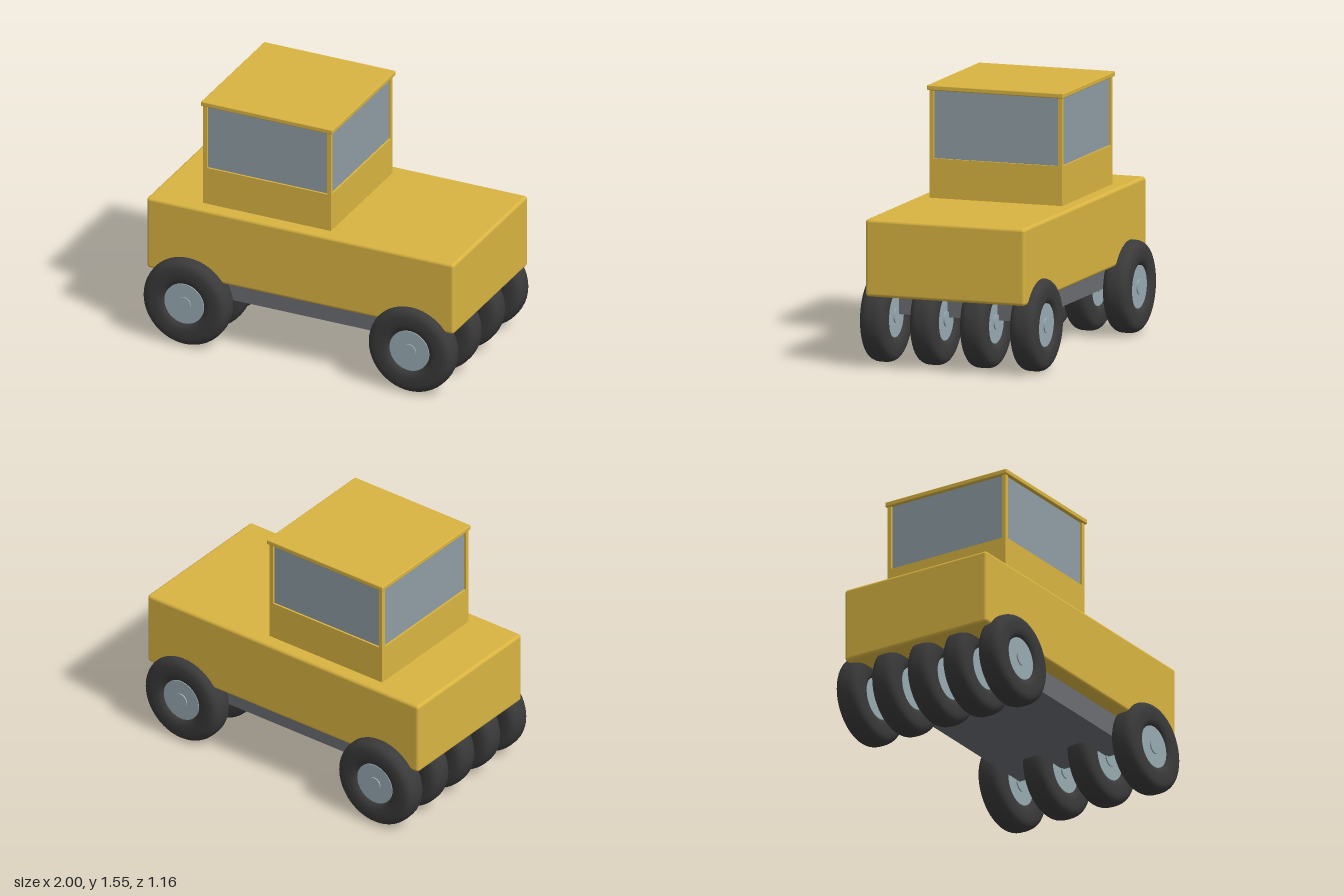
import * as THREE from 'three';
import { RoundedBoxGeometry } from 'three/addons/geometries/RoundedBoxGeometry.js';

const yellow = new THREE.MeshStandardMaterial({ color: 0xd9b441 });
const glass = new THREE.MeshStandardMaterial({ color: 0x8f9da4 });
const rubber = new THREE.MeshStandardMaterial({ color: 0x3a3a3a });
const steel = new THREE.MeshStandardMaterial({ color: 0x6a6d72 });
const hubMetal = new THREE.MeshStandardMaterial({ color: 0x98abb2 });
Object.entries({ yellow, glass, rubber, steel, hubMetal }).forEach(([name, m]) => { m.name = name; });

function add(parent, name, geometry, material, x = 0, y = 0, z = 0) {
  const mesh = new THREE.Mesh(geometry, material);
  mesh.name = name;
  mesh.position.set(x, y, z);
  parent.add(mesh);
  return mesh;
}

// Box given by its extents on each axis
function box(parent, name, material, [x0, x1], [y0, y1], [z0, z1], radius = 0) {
  const size = [x1 - x0, y1 - y0, z1 - z0];
  const geometry = radius ? new RoundedBoxGeometry(...size, 3, radius) : new THREE.BoxGeometry(...size);
  return add(parent, name, geometry, material, (x0 + x1) / 2, (y0 + y1) / 2, (z0 + z1) / 2);
}

// Closed tyre section: a squarish oval, flat on the tread and round at the shoulders
function tyreGeometry() {
  const points = [];
  const n = 32, power = 2 / 2.9;
  for (let i = 0; i <= n; i++) {
    const a = -Math.PI / 2 + (i / n) * Math.PI * 2;
    const c = Math.cos(a), s = Math.sin(a);
    points.push(new THREE.Vector2(
      0.197 + 0.078 * Math.sign(c) * Math.abs(c) ** power,
      0.08 * Math.sign(s) * Math.abs(s) ** power));
  }
  return new THREE.LatheGeometry(points, 48).rotateX(Math.PI / 2);
}

const tyre = tyreGeometry();
const hub = new THREE.CylinderGeometry(0.128, 0.128, 0.12, 40).rotateX(Math.PI / 2);
const cap = new THREE.CylinderGeometry(0.045, 0.045, 0.136, 24).rotateX(Math.PI / 2);

function wheel(parent, name, x, z) {
  const group = new THREE.Group();
  group.name = name;
  group.position.set(x, 0.28, z);
  add(group, 'tyre', tyre, rubber);
  add(group, 'hub', hub, hubMetal);
  add(group, 'hubCap', cap, hubMetal);
  parent.add(group);
}

export function createModel() {
  const model = new THREE.Group();
  model.name = 'pneumaticRoller';

  // Main hull and chassis
  box(model, 'body', yellow, [-1, 1], [0.43, 0.89], [-0.5, 0.5], 0.02);
  box(model, 'chassis', steel, [-0.7, 0.7], [0.285, 0.45], [-0.4, 0.4]);

  // Cab
  const cab = new THREE.Group();
  cab.name = 'cab';
  model.add(cab);
  const x0 = -0.67, x1 = 0.16, zc = 0.415, post = 0.025;
  box(cab, 'cabBase', yellow, [x0, x1], [0.88, 1.125], [-zc, zc]);
  box(cab, 'windows', glass, [x0 + 0.012, x1 - 0.012], [1.12, 1.535], [-zc + 0.012, zc - 0.012]);
  for (const px of [x0, x1 - post]) {
    for (const pz of [-zc, zc - post]) {
      box(cab, 'cabPost', yellow, [px, px + post], [1.12, 1.535], [pz, pz + post]);
    }
  }
  box(cab, 'roof', yellow, [-0.68, 0.175], [1.53, 1.56], [-0.427, 0.427], 0.006);

  // Four wheels on one axle line and five on the other, so the tracks overlap
  for (const z of [-0.47, -0.157, 0.157, 0.47]) wheel(model, 'frontWheel', 0.725, z);
  for (const z of [-0.5, -0.25, 0, 0.25, 0.5]) wheel(model, 'rearWheel', -0.725, z);

  // Stand on the ground
  model.children.forEach((part) => { part.position.y -= 0.005; });
  return model;
}
